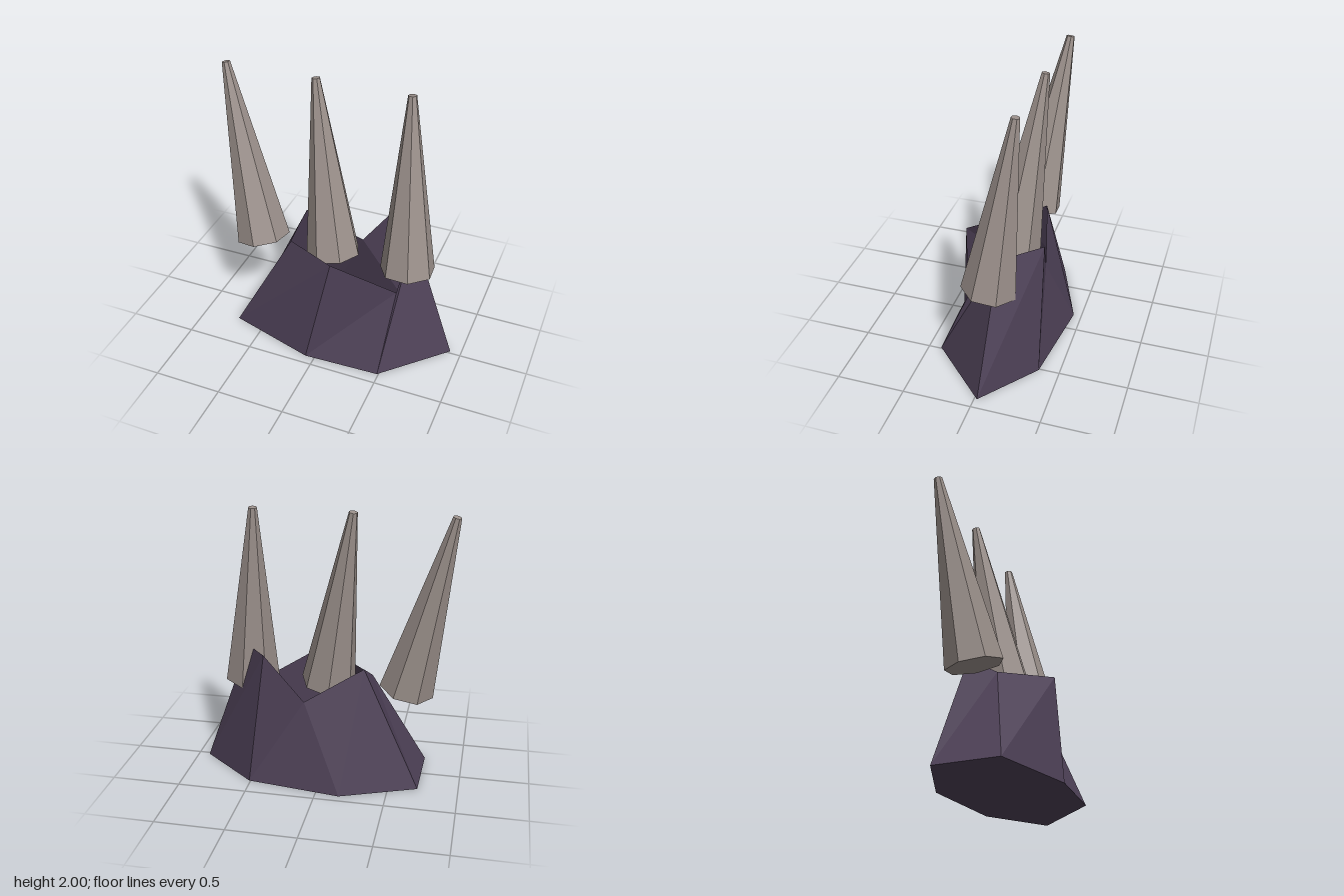
import * as THREE from 'three';

const rockMat = new THREE.MeshStandardMaterial({ color: 0x4d4056, flatShading: true, side: THREE.DoubleSide });
rockMat.name = 'dark purple rock';
const boneMat = new THREE.MeshStandardMaterial({ color: 0x9b908b, flatShading: true });
boneMat.name = 'grey bone';

// Irregular seven-sided stump: outward walls and a floor, open at the top
function makeRock() {
  const foot = [[-0.72, 0, 0.24], [-0.07, 0, 0.43], [0.49, 0, 0.41], [0.92, 0, -0.02],
    [0.51, 0, -0.35], [-0.17, 0, -0.44], [-0.71, 0, -0.23]];
  const rim = [[-0.33, 0.74, 0.06], [0.09, 0.83, 0.33], [0.53, 0.59, 0.16], [0.57, 0.96, -0.07],
    [0.38, 1.0, -0.34], [0.11, 0.64, -0.28], [-0.30, 0.88, -0.17]];
  const pos = [];
  const n = foot.length;
  for (let i = 0; i < n; i++) {
    const j = (i + 1) % n;
    pos.push(...foot[i], ...foot[j], ...rim[j]);
    pos.push(...foot[i], ...rim[j], ...rim[i]);
    pos.push(0, 0, 0, ...foot[j], ...foot[i]);
  }
  const geo = new THREE.BufferGeometry();
  geo.setAttribute('position', new THREE.Float32BufferAttribute(pos, 3));
  geo.computeVertexNormals();
  const mesh = new THREE.Mesh(geo, rockMat);
  mesh.name = 'rockBase';
  return mesh;
}

// Tapered seven-sided spike running from base centre to tip
function makeSpike(name, base, tip, twist) {
  const a = new THREE.Vector3(...base);
  const b = new THREE.Vector3(...tip);
  const geo = new THREE.CylinderGeometry(0.03, 0.2, a.distanceTo(b), 7);
  geo.rotateY(THREE.MathUtils.degToRad(twist));
  const mesh = new THREE.Mesh(geo, boneMat);
  mesh.name = name;
  mesh.position.copy(a).add(b).multiplyScalar(0.5);
  mesh.quaternion.setFromUnitVectors(new THREE.Vector3(0, 1, 0), b.sub(a).normalize());
  return mesh;
}

export function createModel() {
  const group = new THREE.Group();
  group.name = 'spikedRock';
  group.add(
    makeRock(),
    makeSpike('rightSpike', [-0.585, 0.685, 0], [-0.89, 1.993, -0.163], 4),
    makeSpike('middleSpike', [-0.015, 0.69, 0], [-0.21, 1.995, -0.163], -16),
    makeSpike('leftSpike', [0.555, 0.69, 0], [0.475, 1.996, -0.163], 18),
  );
  return group;
}
